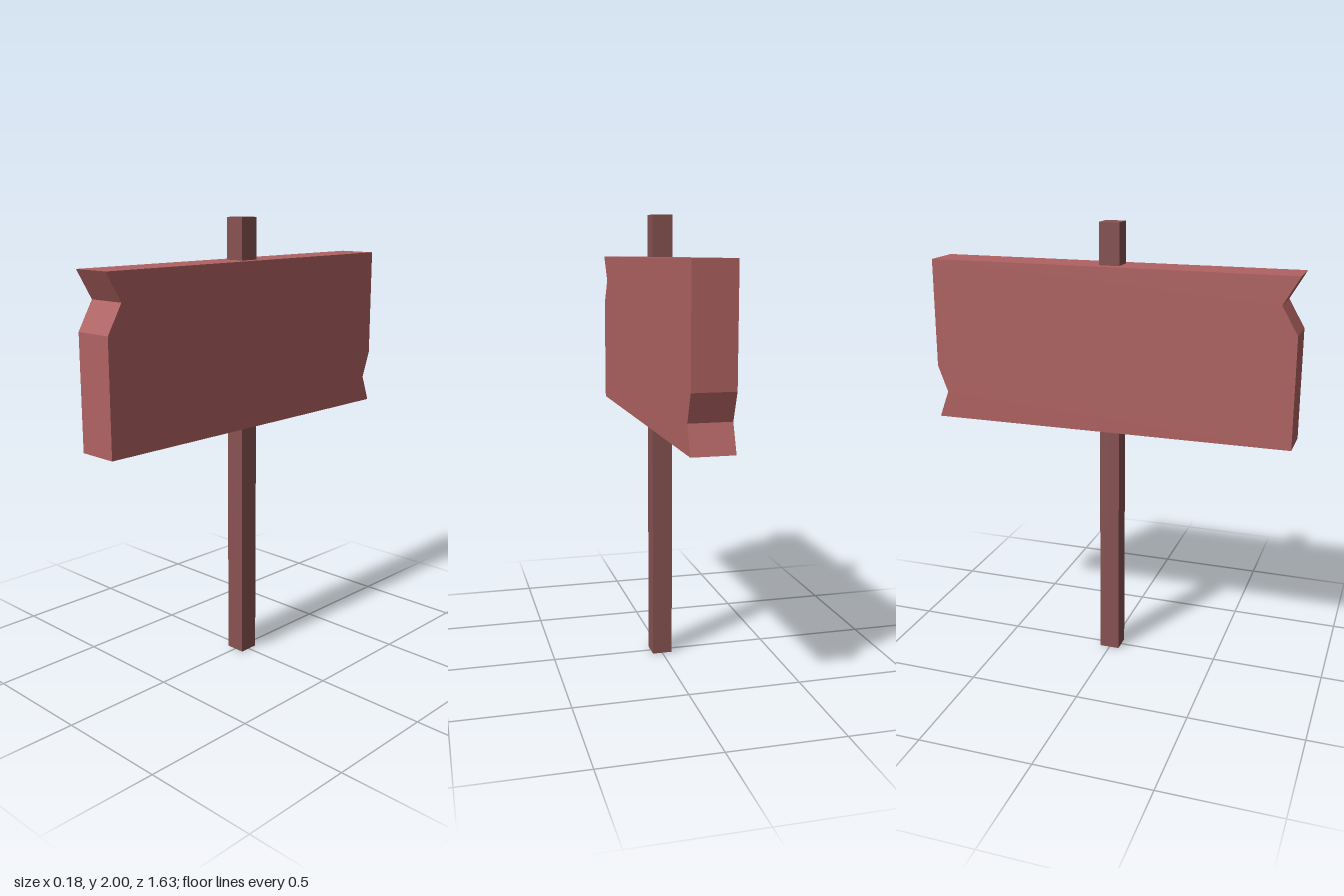
import * as THREE from 'three';

export function createModel() {
  const group = new THREE.Group();
  const boardRed = new THREE.MeshStandardMaterial({ color: 0xb06262, flatShading: true });
  boardRed.name = 'boardRed';
  const postBrown = new THREE.MeshStandardMaterial({ color: 0x885252, flatShading: true });
  postBrown.name = 'postBrown';

  // Square post running through the board
  const post = new THREE.Mesh(new THREE.BoxGeometry(0.09, 2, 0.09), postBrown);
  post.name = 'post';
  post.position.y = 1;
  group.add(post);

  // Board outline as (z, y), with a broken notch at each end
  const outline = [
    [-0.815, 1.095], [0.815, 1.095], [0.815, 1.58], [0.745, 1.70],
    [0.815, 1.82], [-0.815, 1.82], [-0.815, 1.335], [-0.77, 1.215],
  ].map(([z, y]) => new THREE.Vector2(z, y));
  const thickness = 0.18;
  const boardGeometry = new THREE.ExtrudeGeometry(new THREE.Shape(outline), {
    depth: thickness,
    bevelEnabled: false,
  });
  boardGeometry.translate(0, 0, -thickness / 2).rotateY(-Math.PI / 2);
  const board = new THREE.Mesh(boardGeometry, boardRed);
  board.name = 'signBoard';
  group.add(board);

  return group;
}
